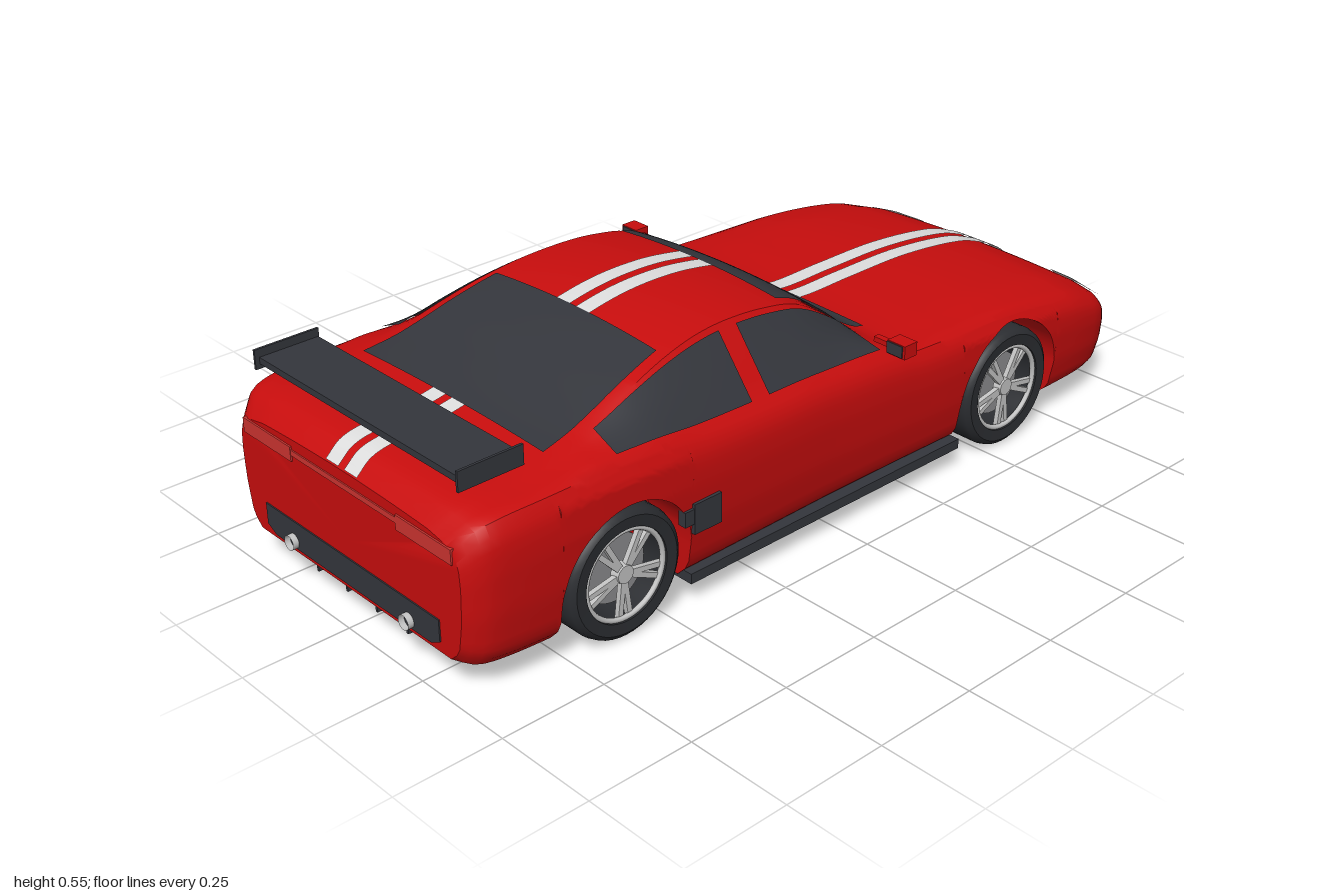
import * as THREE from 'three';
import { toCreasedNormals } from 'three/addons/utils/BufferGeometryUtils.js';

const mat = (name, color, side = THREE.FrontSide) => {
  const m = new THREE.MeshStandardMaterial({ color, side });
  m.name = name;
  return m;
};
const red = mat('red paint', 0xc80d0d);
const dark = mat('dark trim', 0x34363c, THREE.DoubleSide);
const white = mat('white paint', 0xdedede, THREE.DoubleSide);
const rubber = mat('tyre rubber', 0x2b2d31, THREE.DoubleSide);
const silver = mat('silver metal', 0xc4c4c4, THREE.DoubleSide);
const steel = mat('brake steel', 0x8c8c8e);
const lamp = mat('tail lamp', 0xcc3430);

// Body stations: z, half width, floor height, shoulder height, top height
const stations = [
  [-1, .32, .10, .19, .215], [-.985, .36, .08, .215, .243], [-.95, .388, .066, .24, .27],
  [-.9, .405, .06, .262, .296], [-.8, .417, .06, .295, .33], [-.6, .422, .06, .325, .355],
  [-.4, .42, .06, .335, .357], [-.25, .418, .06, .342, .356], [-.2, .418, .06, .35, .37],
  [-.1, .418, .06, .36, .45], [0, .418, .06, .365, .51], [.1, .42, .06, .37, .533],
  [.2, .422, .06, .372, .541], [.3, .424, .06, .375, .537], [.4, .426, .06, .38, .52],
  [.5, .428, .06, .39, .492], [.6, .429, .06, .395, .458], [.7, .428, .06, .398, .43],
  [.8, .425, .06, .396, .413], [.9, .416, .062, .39, .405], [.95, .403, .068, .375, .392],
  [.985, .375, .085, .335, .362],
];
const AXLES = [-.565, .61], WHEEL_Y = .147, ARCH = .168;
const { lerp, smoothstep, clamp } = THREE.MathUtils;

// Smooth interpolation of the stations
function stationAt(z) {
  const n = stations.length;
  let i = 0;
  while (i < n - 2 && z > stations[i + 1][0]) i++;
  const A = stations[i], B = stations[i + 1], h = B[0] - A[0], t = clamp((z - A[0]) / h, 0, 1);
  const slope = (k, c) => {
    const p = stations[Math.max(k - 1, 0)], q = stations[Math.min(k + 1, n - 1)];
    return (q[c] - p[c]) / (q[0] - p[0]);
  };
  const [w, b, s, top] = [1, 2, 3, 4].map(c =>
    A[c] * (1 + 2 * t) * (1 - t) ** 2 + B[c] * t * t * (3 - 2 * t) +
    h * (slope(i, c) * t * (1 - t) ** 2 - slope(i + 1, c) * t * t * (1 - t)));
  const r = Math.min(.75 * w, .27 + .05 * smoothstep(z, .2, .75) + .03 * smoothstep(-z, .15, .4));
  return { w, b, s, top, r, beltX: .905 * w, beltY: s + Math.min(.012, .3 * (top - s)),
    edgeY: top - Math.min(.015, .3 * (top - s)) };
}

// Height of the upper surface
function topY(x, z) {
  const S = stationAt(z), a = Math.abs(x);
  if (a < S.r) return lerp(S.top, S.edgeY, (a / S.r) ** 2);
  return lerp(S.edgeY, S.beltY, (a - S.r) / (S.beltX - S.r));
}

// Half width of the flank as a share of the full width
const flank = [[0, .88], [.1, .955], [.4, .99], [.7, 1], [.9, .99], [1, .945]];
function flankX(f) {
  let i = 0;
  while (i < flank.length - 2 && f > flank[i + 1][0]) i++;
  const [a, b] = [flank[i], flank[i + 1]];
  return lerp(a[1], b[1], (f - a[0]) / (b[0] - a[0]));
}

// Closed cross-section, with the lower flank lifted over the wheels
function section(z) {
  const S = stationAt(z), inner = Math.min(.3, .8 * S.w);
  let y0 = S.b;
  for (const a of AXLES) {
    const d = Math.abs(z - a);
    if (d < ARCH) y0 = WHEEL_Y + Math.sqrt(ARCH * ARCH - d * d);
  }
  const half = [[0, S.b], [inner, S.b], [inner, y0]];
  for (let i = 0; i <= 14; i++) {
    const y = lerp(y0, S.s, i / 14);
    half.push([S.w * flankX((y - S.b) / (S.s - S.b)), y]);
  }
  for (let i = 0; i < 4; i++) half.push([lerp(S.beltX, S.r, i / 4), lerp(S.beltY, S.edgeY, i / 4)]);
  for (let i = 0; i <= 8; i++) {
    const x = S.r * (1 - i / 8);
    half.push([x, lerp(S.top, S.edgeY, (x / S.r) ** 2)]);
  }
  return [...half, ...half.slice(1, -1).reverse().map(([x, y]) => [-x, y])];
}

function buildGeometry(pos, index) {
  const g = new THREE.BufferGeometry();
  g.setAttribute('position', new THREE.Float32BufferAttribute(pos, 3));
  g.setIndex(index);
  g.computeVertexNormals();
  return g;
}

function bodyGeometry() {
  const zs = stations.map(s => s[0]);
  for (let z = -.99; z < .98; z += .02) {
    if (AXLES.every(a => Math.abs(z - a) > ARCH)) zs.push(z);
  }
  for (const a of AXLES) {
    zs.push(a - ARCH * 1.0005, a + ARCH * 1.0005);
    for (let i = 0; i <= 32; i++) zs.push(a + ARCH * .9999 * Math.cos(Math.PI * i / 32));
  }
  zs.sort((a, b) => a - b);
  const pos = [], index = [], n = section(0).length;
  zs.forEach((z, k) => {
    section(z).forEach(([x, y]) => pos.push(x, y, z));
    if (!k) return;
    for (let j = 0; j < n; j++) {
      const a = (k - 1) * n + j, b = (k - 1) * n + (j + 1) % n;
      index.push(a, b, b + n, a, b + n, a + n);
    }
  });
  // Nose and tail caps
  const last = (zs.length - 1) * n, c = zs.length * n;
  pos.push(0, .15, zs[0], 0, .2, zs[zs.length - 1]);
  for (let j = 0; j < n; j++) {
    const q = (j + 1) % n;
    index.push(c, q, j, c + 1, last + j, last + q);
  }
  return toCreasedNormals(buildGeometry(pos, index), .65);
}

// Thin sheet from a rule f(u, v) -> [x, y, z]
function sheet(f, nu, nv) {
  const pos = [], index = [], row = nv + 1;
  for (let i = 0; i <= nu; i++) for (let j = 0; j <= nv; j++) {
    pos.push(...f(i / nu, j / nv));
    if (i && j) {
      const d = i * row + j, a = d - row - 1;
      index.push(a, a + 1, d, a, d, d - 1);
    }
  }
  return buildGeometry(pos, index);
}
const onTop = (x, z) => [x, topY(x, z) + .005, z];

export function createModel() {
  const car = new THREE.Group();
  const add = (name, geo, material, x = 0, y = 0, z = 0, parent = car) => {
    const m = new THREE.Mesh(geo, material);
    m.name = name;
    m.position.set(x, y, z);
    parent.add(m);
    return m;
  };
  // Box given by its limits
  const box = (name, material, x0, x1, y0, y1, z0, z1) => add(name,
    new THREE.BoxGeometry(Math.abs(x1 - x0), y1 - y0, z1 - z0), material,
    (x0 + x1) / 2, (y0 + y1) / 2, (z0 + z1) / 2);

  add('body', bodyGeometry(), red);

  // Glass front and back
  add('windscreen', sheet((u, v) => onTop(lerp(-.25, .25, u), lerp(-.238, .04, v)), 24, 30), dark);
  add('rearWindow', sheet((u, v) => onTop(lerp(-1, 1, u) * lerp(.26, .3, v), lerp(.39, .72, v)), 24, 30), dark);

  for (const s of [1, -1]) {
    // Side glass
    for (const [name, z0, z1] of [['frontSideWindow', -.155, .19], ['rearSideWindow', .24, .61]]) {
      add(name, sheet((u, v) => {
        const z = lerp(z0, z1, u), S = stationAt(z), k = lerp(.02, .92, v);
        const dx = S.r - S.beltX, dy = S.edgeY - S.beltY, l = Math.hypot(dx, dy);
        return [s * (S.beltX + dx * k + dy / l * .005), S.beltY + dy * k - dx / l * .005, z];
      }, 30, 4), dark);
    }
    // Racing stripes
    for (const [z0, z1] of [[-.985, -.238], [.04, .39], [.72, .985]]) {
      add('stripe', sheet((u, v) => onTop(s * lerp(.01, .053, u), lerp(z0, z1, v)), 2, 40), white);
    }
    add('headlight', sheet((u, v) => onTop(s * lerp(.21, .36, u),
      lerp(lerp(-.992, -.965, u), lerp(-.965, -.93, u), v)), 12, 8), white);
    box('tailLamp', lamp, s * .18, s * .355, .308, .342, .981, .989);
    box('sideSkirt', dark, s * .36, s * .415, .052, .076, -.395, .44);
    box('sideScoop', dark, s * .41, s * .432, .18, .25, .37, .445);
    box('scoopTip', dark, s * .41, s * .431, .205, .24, .445, .47);
    // Door mirrors
    box('mirrorArm', red, s * .36, s * .42, .388, .4, -.168, -.152);
    box('mirrorShell', red, s * .408, s * .458, .38, .412, -.182, -.143);
    box('mirrorGlass', dark, s * .408, s * .452, .383, .41, -.143, -.14);
    // Rear wing ends and posts
    box('wingEndPlate', dark, s * .338, s * .344, .445, .49, .8, .955);
    box('wingPost', dark, s * .236, s * .244, .395, .46, .825, .88);
    // Exhausts
    const pipe = add('exhaust', new THREE.CylinderGeometry(.017, .017, .07, 20, 1, true), silver, s * .2, .112, .967);
    pipe.rotation.x = Math.PI / 2;
    for (const x of [.052, .157]) box('diffuserFin', dark, s * x - .003, s * x + .003, .048, .095, .84, .965);
  }

  // Nose and tail trim
  box('wingBlade', dark, -.338, .338, .456, .471, .802, .945);
  box('grille', dark, -.255, .255, .125, .178, -1.003, -.996);
  box('splitter', dark, -.31, .31, .043, .055, -.96, -.83);
  box('splitterMount', dark, -.29, .29, .054, .072, -.93, -.85);
  box('tailStrip', lamp, -.18, .18, .322, .335, .981, .988);
  const insert = new THREE.Shape([[-.3, .11], [-.27, .095], [.27, .095], [.3, .11], [.3, .16], [-.3, .16]]
    .map(p => new THREE.Vector2(...p)));
  add('rearBumperInsert', new THREE.ExtrudeGeometry(insert, { depth: .007, bevelEnabled: false }), dark, 0, 0, .981);

  // Wheels: axis along x, outer face on local +y before turning
  const tyreProfile = [[.106, -.05], [.132, -.052], [.143, -.044], [.147, -.03], [.147, .03],
    [.143, .044], [.132, .052], [.106, .05], [.104, 0], [.106, -.05]].map(p => new THREE.Vector2(...p));
  const tyre = toCreasedNormals(new THREE.LatheGeometry(tyreProfile, 48), .7);
  const rim = new THREE.TorusGeometry(.101, .006, 8, 48).rotateX(Math.PI / 2);
  const disc = new THREE.CylinderGeometry(.078, .078, .012, 36);
  const hub = new THREE.CylinderGeometry(.02, .024, .02, 20);
  const spoke = new THREE.BoxGeometry(.09, .012, .012);
  for (const z of AXLES) for (const s of [1, -1]) {
    const wheel = new THREE.Group();
    wheel.name = z < 0 ? 'frontWheel' : 'rearWheel';
    wheel.position.set(s * .363, WHEEL_Y, z);
    wheel.rotation.z = -s * Math.PI / 2;
    add('tyre', tyre, rubber, 0, 0, 0, wheel);
    add('rim', rim, silver, 0, .042, 0, wheel);
    add('brakeDisc', disc, steel, 0, .005, 0, wheel);
    add('hub', hub, silver, 0, .036, 0, wheel);
    for (let i = 0; i < 5; i++) for (const k of [-1, 1]) {
      const a = i * Math.PI * 2 / 5 + k * .13;
      const m = add('spoke', spoke, silver, Math.cos(a) * .058, .036, Math.sin(a) * .058, wheel);
      m.rotation.y = -a;
    }
    car.add(wheel);
  }
  return car;
}
